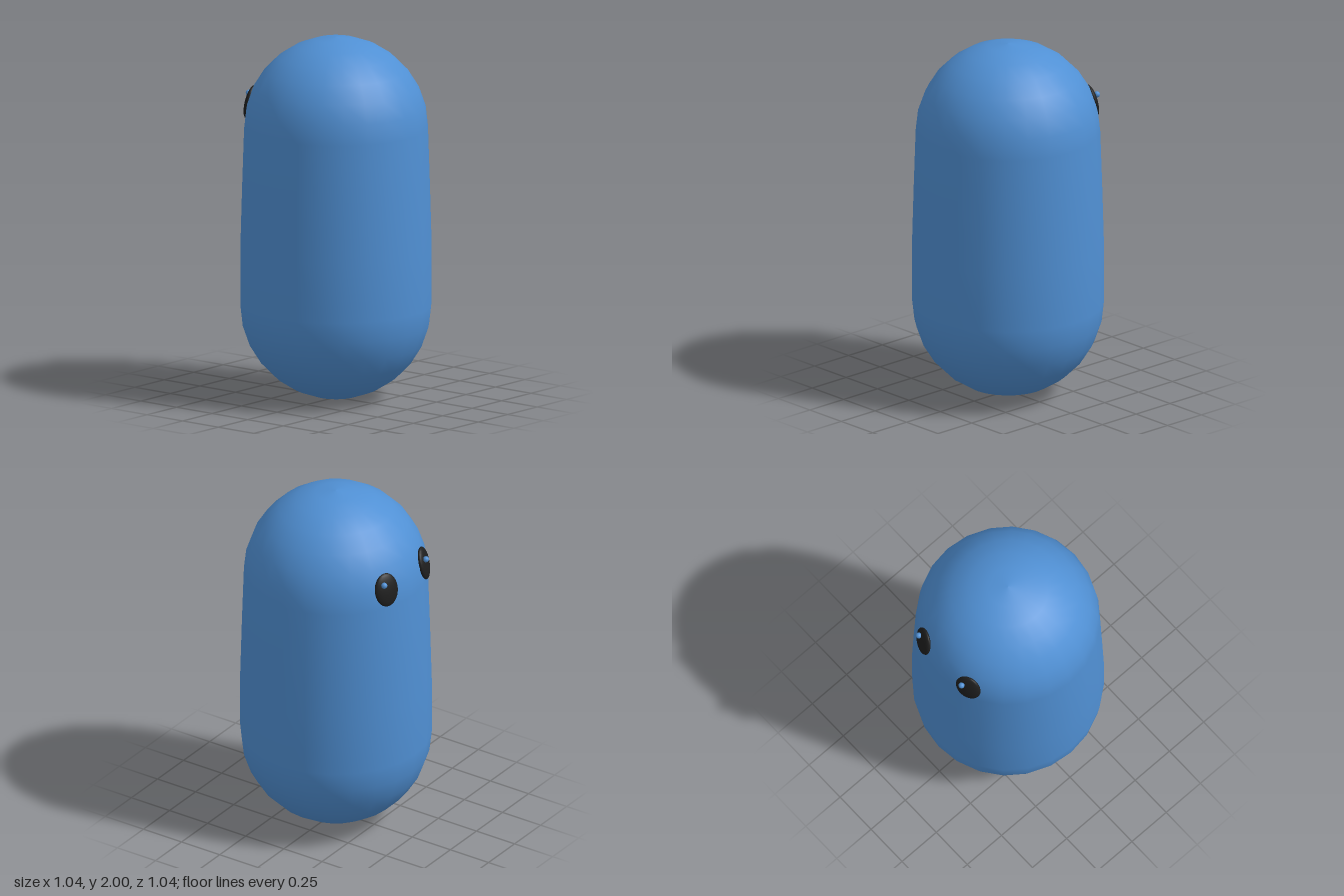
import * as THREE from 'three';

export function createModel() {
  const model = new THREE.Group();
  const blue = new THREE.MeshStandardMaterial({ name: 'blue', color: 0x5090d4 });
  const black = new THREE.MeshStandardMaterial({ name: 'black', color: 0x1e1e1e });

  const add = (name, geometry, material, position = [0, 0, 0]) => {
    const mesh = new THREE.Mesh(geometry, material);
    mesh.name = name;
    mesh.position.set(...position);
    model.add(mesh);
    return mesh;
  };

  // Capsule body: round base, gently tapering sides, domed top
  const STEPS = 7, BASE = 0.52, TOP = 0.5;
  const profile = [];
  for (let i = 0; i <= STEPS; i++) {
    const a = (i / STEPS) * Math.PI / 2;
    profile.push(new THREE.Vector2(BASE * Math.sin(a), BASE * (1 - Math.cos(a)) + 0.004));
  }
  profile.push(new THREE.Vector2(0.52, 0.85), new THREE.Vector2(0.511, 1.17));
  for (let i = STEPS; i >= 0; i--) {
    const a = (i / STEPS) * Math.PI / 2;
    profile.push(new THREE.Vector2(i ? TOP * Math.sin(a) : 0, 2 - TOP * (1 - Math.cos(a))));
  }
  add('body', new THREE.LatheGeometry(profile, 24), blue);

  // Flattened oval eyes on the -z side, each with a small glint towards +x
  const eye = new THREE.SphereGeometry(1, 20, 14).scale(0.073, 0.094, 0.024);
  const glint = new THREE.SphereGeometry(0.017, 12, 8);
  for (const [side, s, glintPos] of [
    ['left', 1, [0.211, 1.65, -0.461]],
    ['right', -1, [-0.158, 1.65, -0.482]],
  ]) {
    const mesh = add(side + 'Eye', eye, black, [s * 0.18, 1.608, -0.453]);
    mesh.lookAt(s * 0.18 * 2, 1.608 + 0.11, -0.453 * 2);
    add(side + 'EyeGlint', glint, blue, glintPos);
  }
  return model;
}
